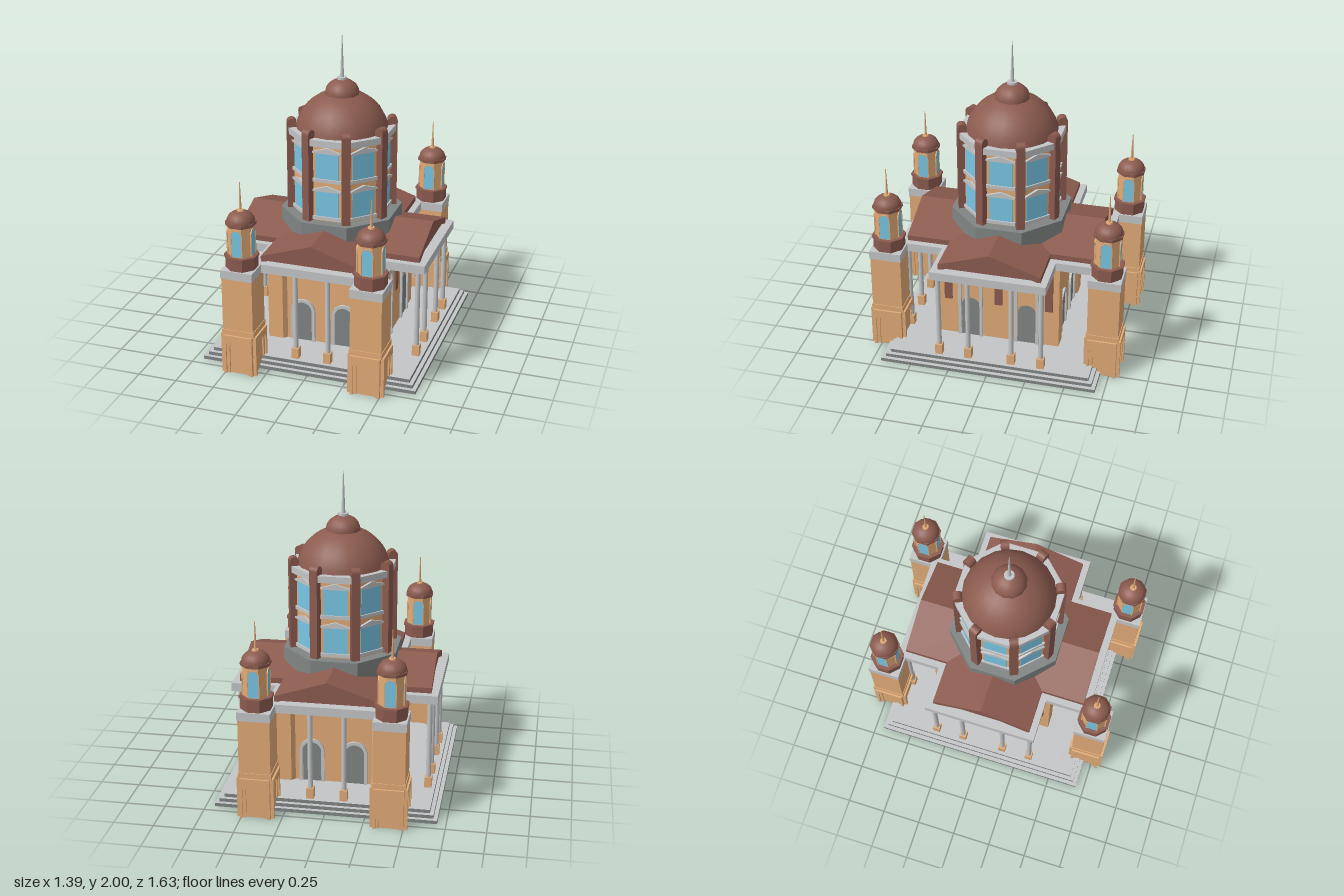
import * as THREE from 'three';
import { toCreasedNormals } from 'three/addons/utils/BufferGeometryUtils.js';

const mat = (name, color) => Object.assign(new THREE.MeshStandardMaterial({ color }), { name });
const ochre = mat('ochre wall', 0xe2ab77);
const brown = mat('brown roof', 0x8c5b4f);
const light = mat('light stone', 0xc3c5c7);
const dark = mat('dark stone', 0x808584);
const blue = mat('blue glass', 0x79c6e4);

const QUARTERS = [0, 1, 2, 3].map(i => i * Math.PI / 2);

function add(parent, name, geo, material, x = 0, y = 0, z = 0) {
  const m = new THREE.Mesh(geo, material);
  m.name = name;
  m.position.set(x, y, z);
  parent.add(m);
  return m;
}

// Box standing on height y
const box = (p, name, m, w, h, d, x, y, z) =>
  add(p, name, new THREE.BoxGeometry(w, h, d), m, x, y + h / 2, z);

// Octagonal prism with flats on the axes, sized by its apothem
function octagon(p, name, m, apothem, y0, y1) {
  const r = apothem / Math.cos(Math.PI / 8);
  const g = new THREE.CylinderGeometry(r, r, y1 - y0, 8).rotateY(Math.PI / 8);
  return add(p, name, toCreasedNormals(g, 0.5), m, 0, (y0 + y1) / 2, 0);
}

// Dome cap from a lathe, with elliptical profile
function dome(p, name, m, r, y, h, sides, start = 0) {
  const pts = [];
  for (let i = 0; i <= 10; i++) {
    const a = start + (Math.PI / 2 - start) * i / 10;
    pts.push(new THREE.Vector2(Math.max(r * Math.cos(a), 0.0001), h * Math.sin(a)));
  }
  return add(p, name, new THREE.LatheGeometry(pts, sides), m, 0, y, 0);
}

// Round-headed outline: half width w, total height h
function archPath(w, h) {
  const s = new THREE.Shape();
  s.moveTo(-w, 0);
  s.lineTo(w, 0);
  s.lineTo(w, h - w);
  s.absarc(0, h - w, w, 0, Math.PI, false);
  s.lineTo(-w, 0);
  return s;
}

const extrude = (shape, depth) =>
  new THREE.ExtrudeGeometry(shape, { depth, bevelEnabled: false, curveSegments: 8 });

// Arched band, open at the foot
function archBand(w, h, t) {
  const s = new THREE.Shape();
  s.moveTo(w - t, 0);
  s.lineTo(w, 0);
  s.lineTo(w, h - w);
  s.absarc(0, h - w, w, 0, Math.PI, false);
  s.lineTo(-w, 0);
  s.lineTo(-w + t, 0);
  s.lineTo(-w + t, h - w);
  s.absarc(0, h - w, w - t, Math.PI, 0, true);
  return s;
}

// Square panel with an arched opening, open at the foot
function archedPanel(W, H, w, h) {
  const s = new THREE.Shape();
  s.moveTo(w, 0);
  s.lineTo(W, 0);
  s.lineTo(W, H);
  s.lineTo(-W, H);
  s.lineTo(-W, 0);
  s.lineTo(-w, 0);
  s.lineTo(-w, h - w);
  s.absarc(0, h - w, w, Math.PI, 0, true);
  return s;
}

const polygon = pts => new THREE.Shape(pts.map(([x, y]) => new THREE.Vector2(x, y)));

// Plan outline raised from y0 by height h
const raise = (pts, y0, h) => extrude(polygon(pts), h).rotateX(-Math.PI / 2).translate(0, y0, 0);

function side(parent, name, angle) {
  const g = new THREE.Group();
  g.name = name;
  g.rotation.y = angle;
  parent.add(g);
  return g;
}

// One drum window with sill and small pediment
function drumWindow(p, y, z) {
  box(p, 'windowSill', light, 0.185, 0.022, 0.025, 0, y, z);
  box(p, 'windowPane', blue, 0.15, 0.175, 0.008, 0, y + 0.022, z);
  const gable = polygon([[-0.092, 0], [0.092, 0], [0.092, 0.01], [0, 0.038], [-0.092, 0.01]]);
  add(p, 'windowPediment', extrude(gable, 0.018), light, 0, y + 0.19, z - 0.003);
}

function tower(x, z) {
  const t = new THREE.Group();
  t.name = 'cornerTower';
  t.position.set(x, 0, z);
  box(t, 'towerShaft', ochre, 0.197, 0.345, 0.197, 0, 0.3, 0);
  box(t, 'towerBase', ochre, 0.19, 0.27, 0.19, 0, 0, 0);
  box(t, 'towerBaseTop', ochre, 0.206, 0.035, 0.206, 0, 0.265, 0);
  box(t, 'towerCap', light, 0.205, 0.055, 0.205, 0, 0.645, 0);
  octagon(t, 'turretFoot', brown, 0.093, 0.7, 0.77);
  octagon(t, 'turretFootRim', brown, 0.1, 0.77, 0.785);
  octagon(t, 'turretDrum', ochre, 0.075, 0.785, 0.985);
  octagon(t, 'turretCornice', brown, 0.088, 0.98, 1.0);
  dome(t, 'turretDome', brown, 0.087, 1.0, 0.068, 16);
  add(t, 'turretKnob', new THREE.CylinderGeometry(0.02, 0.024, 0.014, 8), ochre, 0, 1.068, 0);
  add(t, 'turretSpire', new THREE.CylinderGeometry(0.002, 0.009, 0.18, 8), ochre, 0, 1.16, 0);
  // Blind arches on the base and a window on each turret face
  for (const a of QUARTERS) {
    const s = side(t, 'towerFace', a);
    add(s, 'basePanel', extrude(archedPanel(0.094, 0.265, 0.077, 0.255), 0.022), ochre, 0, 0, 0.093);
    add(s, 'baseArch', extrude(archBand(0.077, 0.255, 0.02), 0.012), ochre, 0, 0, 0.093);
    add(s, 'turretWindow', extrude(archPath(0.032, 0.17), 0.004), blue, 0, 0.79, 0.074);
    add(s, 'turretWindowFrame', extrude(archBand(0.038, 0.176, 0.006), 0.008), ochre, 0, 0.79, 0.073);
  }
  return t;
}

export function createModel() {
  const root = new THREE.Group();
  root.name = 'domedHall';

  // Stepped platform with pale treads
  [0.695, 0.67, 0.645].forEach((r, i) =>
    box(root, 'platformStep', [dark, dark, light, light, dark, dark], 2 * r, 0.022, 2 * r, 0, i * 0.022, 0));

  // Hall with shallow splayed recesses at front and back
  const front = [[0.365, 0.395], [0.268, 0.395], [0.245, 0.37], [-0.245, 0.37], [-0.268, 0.395], [-0.365, 0.395]];
  const back = front.map(([x, z]) => [-x, -z]);
  add(root, 'hall', raise([...front, ...back], 0.066, 0.58), ochre);

  // Cross-shaped roof slab over the four porches
  const a = 0.367, b = 0.65;
  const cross = [[a, b], [-a, b], [-a, a], [-b, a], [-b, -a], [-a, -a],
    [-a, -b], [a, -b], [a, -a], [b, -a], [b, a], [a, a]];
  add(root, 'roofSlab', raise(cross, 0.645, 0.055), light);

  // Each side: colonnade, doors and gable
  QUARTERS.forEach((angle, i) => {
    const flank = i % 2 === 1;
    const wall = flank ? 0.365 : 0.37;
    const s = side(root, 'hallSide', angle);
    const inner = flank ? 0.14 : 0.105;
    for (const x of [-0.33, -inner, inner, 0.33]) {
      box(s, 'columnPedestal', ochre, 0.046, 0.07, 0.046, x, 0.066, 0.6);
      add(s, 'column', new THREE.CylinderGeometry(0.016, 0.016, 0.51, 12), light, x, 0.391, 0.6);
    }
    for (const k of [-1, 1]) {
      const x = k * (flank ? 0.185 : 0.137);
      const h = flank ? 0.49 : 0.29;
      add(s, 'doorSurround', extrude(archBand(0.08, h, 0.02), 0.02), light, x, 0.066, wall - 0.005);
      add(s, 'door', extrude(archPath(0.058, flank ? 0.285 : 0.27), 0.006), dark, x, 0.066, wall - 0.002);
    }
    if (flank) for (const x of [-0.33, 0, 0.33])
      box(s, 'wallStrip', brown, 0.05, 0.315, 0.012, x, 0.33, wall + 0.005);

    // Gabled roof arm with a sunken pediment
    const gable = [[-0.325, 0.7], [0.325, 0.7], [0.325, 0.735], [0, 0.843], [-0.325, 0.735]];
    add(s, 'gableRoof', extrude(polygon(gable), 0.59), brown);
    const rake = [[0.325, 0.7], [0.325, 0.735], [0, 0.843], [-0.325, 0.735], [-0.325, 0.7], [-0.3, 0.7], [0, 0.808], [0.3, 0.7]];
    add(s, 'pedimentRake', extrude(polygon(rake), 0.016), brown, 0, 0, 0.59);
  });

  // Octagonal drum
  octagon(root, 'drumPlinth', dark, 0.357, 0.7, 0.88);
  octagon(root, 'drumWall', ochre, 0.29, 0.88, 1.4);
  octagon(root, 'drumCornice', light, 0.32, 1.378, 1.42);
  for (let i = 0; i < 8; i++) {
    const s = side(root, 'drumFace', i * Math.PI / 4);
    drumWindow(s, 0.89, 0.291);
    drumWindow(s, 1.14, 0.291);
    // Round-topped rib on each corner
    const r = side(root, 'drumRib', (i + 0.5) * Math.PI / 4);
    const rib = extrude(archPath(0.03, 0.6), 0.054).translate(0, 0, -0.027).rotateY(Math.PI / 2);
    rib.rotateY(-Math.PI / 2).rotateY(Math.PI / 2);
    add(r, 'rib', rib, brown, 0, 0.875, 0.317);
  }

  // Main dome, cap and spire
  dome(root, 'mainDome', brown, 0.298, 1.36, 0.288, 20, 0.15);
  dome(root, 'domeCap', brown, 0.11, 1.625, 0.098, 12);
  add(root, 'spireCollar', new THREE.CylinderGeometry(0.032, 0.032, 0.014, 12), light, 0, 1.727, 0);
  add(root, 'spire', new THREE.CylinderGeometry(0.002, 0.013, 0.27, 8), light, 0, 1.865, 0);

  for (const x of [-0.41, 0.41])
    for (const z of [-0.7, 0.7]) root.add(tower(x, z));

  return root;
}
